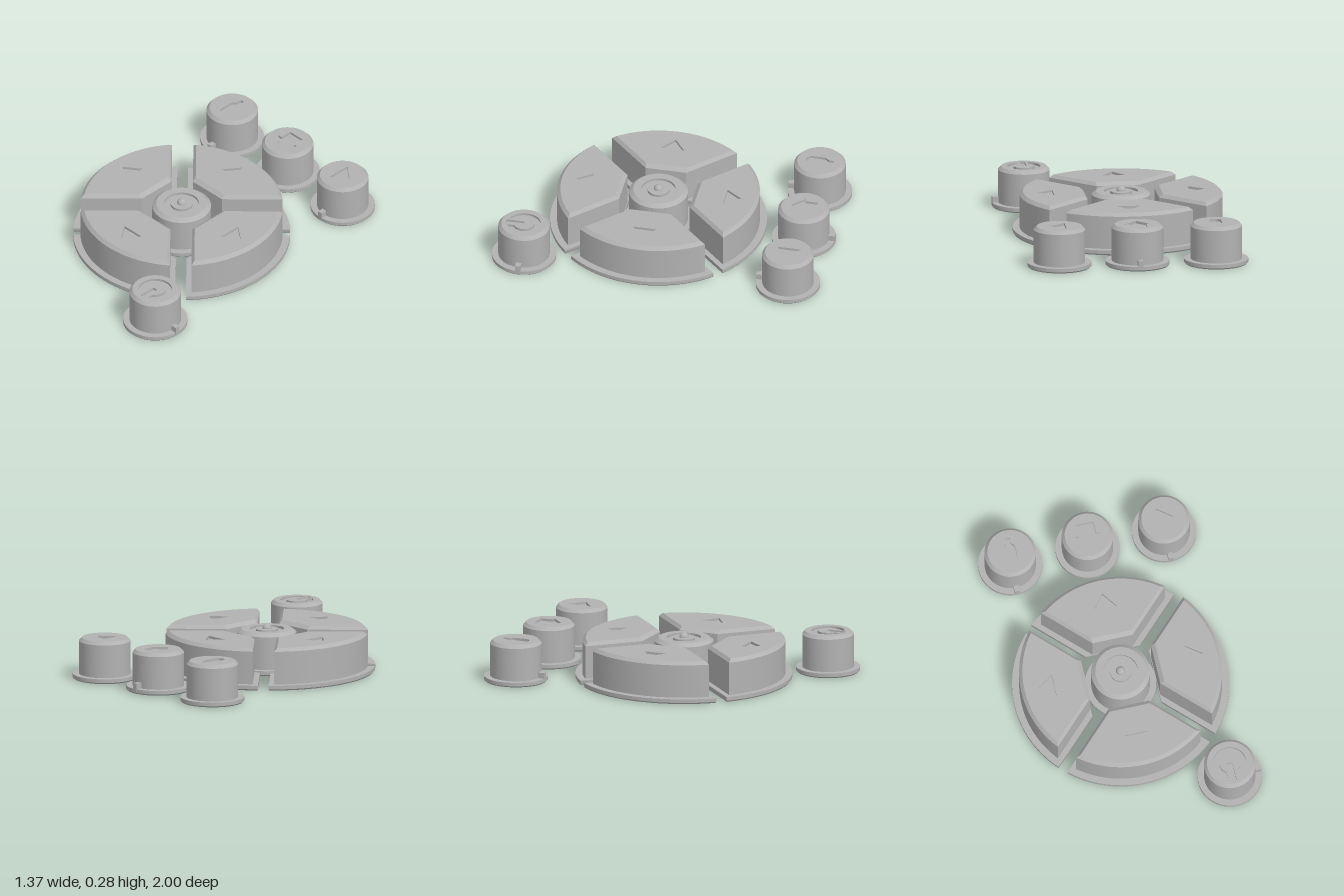
import * as THREE from 'three';
import { toCreasedNormals } from 'three/addons/utils/BufferGeometryUtils.js';

const grey = new THREE.MeshStandardMaterial({ color: 0xb2b2b2, side: THREE.DoubleSide });
grey.name = 'grey plastic';

const TOP = 0.25, FLOOR = 0.235;

// Outlines are lists of [x, z] points, running from +x towards +z.
function circle(r, n = 64) {
  return Array.from({ length: n }, (_, i) => {
    const a = (i / n) * Math.PI * 2;
    return [r * Math.cos(a), r * Math.sin(a)];
  });
}

// Quarter wedge pointing to +x: gap to the diagonal, outer radius, flat inner edge
function wedge(gap, r, flat, n = 28) {
  const o = gap * Math.SQRT2;
  const u = (o + Math.sqrt(2 * r * r - o * o)) / 2;
  const a = Math.atan2(u - o, u);
  const pts = [[flat, -(flat - o)]];
  for (let i = 0; i <= n; i++) {
    const t = -a + (2 * a * i) / n;
    pts.push([r * Math.cos(t), r * Math.sin(t)]);
  }
  pts.push([flat, flat - o]);
  return pts;
}

// Skin between stacked outlines, given as [outline, y]
function loft(rings) {
  const pos = [];
  for (let k = 0; k < rings.length - 1; k++) {
    const [lo, y0] = rings[k], [hi, y1] = rings[k + 1];
    for (let i = 0; i < lo.length; i++) {
      const j = (i + 1) % lo.length;
      const a = [lo[i][0], y0, lo[i][1]], b = [lo[j][0], y0, lo[j][1]];
      const c = [hi[j][0], y1, hi[j][1]], d = [hi[i][0], y1, hi[i][1]];
      pos.push(...a, ...d, ...c, ...a, ...c, ...b);
    }
  }
  const g = new THREE.BufferGeometry();
  g.setAttribute('position', new THREE.Float32BufferAttribute(pos, 3));
  return toCreasedNormals(g, 0.5);
}

function toShape(outline, sign) {
  return new THREE.Shape(outline.map(([x, z]) => new THREE.Vector2(x, sign * z)));
}

function add(group, name, geometry, y = 0) {
  const mesh = new THREE.Mesh(geometry, grey);
  mesh.name = name;
  mesh.position.y = y;
  group.add(mesh);
  return mesh;
}

// Raised plate at the top, with engraved symbols cut through it
function plate(outline, holes = []) {
  const s = toShape(outline, -1);
  s.holes = holes.map((h) => toShape(h, -1));
  const g = new THREE.ExtrudeGeometry(s, { depth: TOP - FLOOR, bevelEnabled: false });
  return toCreasedNormals(g.rotateX(-Math.PI / 2), 0.5);
}

function button(name, { flange, foot, body, top }, symbols, pocketX = 0) {
  const g = new THREE.Group();
  g.name = name;
  add(g, 'shell', loft([[foot, 0], [flange, 0.008], [flange, 0.03], [body, 0.03], [body, 0.23], [top, TOP]]));
  add(g, 'engravedTop', plate(top, symbols));
  add(g, 'engravingFloor', new THREE.ShapeGeometry(toShape(top, -1)).rotateX(-Math.PI / 2), FLOOR);

  // Underside with a square, tapering switch pocket
  const h = 0.095;
  const under = toShape(foot, 1);
  under.holes = [toShape([[-h, -h], [h, -h], [h, h], [-h, h]].map(([x, z]) => [x + pocketX, z]), 1)];
  add(g, 'underside', new THREE.ShapeGeometry(under).rotateX(Math.PI / 2));
  const profile = [[h * Math.SQRT2, 0], [h * Math.SQRT2, 0.015], [0.06, 0.08], [0, 0.08]];
  const pocket = new THREE.LatheGeometry(profile.map((p) => new THREE.Vector2(...p)), 4, Math.PI / 4);
  add(g, 'switchPocket', toCreasedNormals(pocket, 0.3)).position.x = pocketX;
  return g;
}

const roundOutlines = (flange, body, top) => ({
  flange: circle(flange), foot: circle(flange - 0.008), body: circle(body), top: circle(top),
});

// Part ring open towards +z
function openRing(inner, outer, gap, n = 40) {
  const arc = (r) => {
    const half = Math.asin(gap / r);
    return Array.from({ length: n + 1 }, (_, i) => {
      const a = Math.PI / 2 + half + ((Math.PI * 2 - 2 * half) * i) / n;
      return [r * Math.cos(a), r * Math.sin(a)];
    });
  };
  return [...arc(outer), ...arc(inner).reverse()];
}

// Bottle: square neck, shoulders and a rounded base
function bottle() {
  const pts = [[-0.013, -0.085], [0.013, -0.085], [0.013, -0.052], [0.03, -0.035], [0.035, -0.02]];
  for (let i = 0; i <= 12; i++) {
    const a = (i / 12) * Math.PI;
    pts.push([0.035 * Math.cos(a), 0.05 + 0.035 * Math.sin(a)]);
  }
  return [...pts, [-0.035, -0.02], [-0.03, -0.035], [-0.013, -0.052]];
}

export function createModel() {
  const model = new THREE.Group();
  model.name = 'buttonSet';

  // Direction pad
  const pad = new THREE.Group();
  pad.name = 'directionPad';
  pad.position.set(-0.02, 0, 0.085);
  model.add(pad);
  const wedgeOutlines = {
    flange: wedge(0.032, 0.652, 0.212), foot: wedge(0.036, 0.646, 0.215),
    body: wedge(0.065, 0.61, 0.216), top: wedge(0.082, 0.59, 0.241),
  };
  const arrow = [[0.41, -0.071], [0.507, 0], [0.41, 0.071]];
  ['rightWedge', 'backWedge', 'leftWedge', 'frontWedge'].forEach((name, i) => {
    const w = button(name, wedgeOutlines, [arrow], 0.44);
    w.rotation.y = (i * Math.PI) / 2;
    pad.add(w);
  });

  // Centre button with a ring groove and a small locating ball
  const centre = button('centreButton', roundOutlines(0.214, 0.177, 0.152), [circle(0.103)]);
  add(centre, 'centreDisc', plate(circle(0.066)), FLOOR);
  add(centre, 'locatingBall', new THREE.SphereGeometry(0.028, 24, 16), TOP);
  pad.add(centre);

  // Separate round buttons: position, symbols and direction of the key tab
  const rounds = [
    ['bottleButton', -0.496, -0.807, [bottle()], [0, 1]],
    ['downArrowButton', -0.02, -0.807, [[[-0.053, -0.074], [0.053, -0.074], [0.053, 0], [0.08, 0],
      [0, 0.08], [-0.08, 0], [-0.053, 0]]], [0, -1]],
    ['playButton', 0.452, -0.807, [[[-0.037, -0.074], [0.058, 0], [-0.037, 0.074]]], [0, 1]],
    ['powerButton', 0.488, 0.805, [openRing(0.063, 0.1, 0.032),
      [[-0.016, 0], [0.016, 0], [0.016, 0.11], [-0.016, 0.11]]], [1, 0]],
  ];
  for (const [name, x, z, symbols, [dx, dz]] of rounds) {
    const b = button(name, roundOutlines(0.193, 0.155, 0.137), symbols);
    b.position.set(x, 0, z);
    const tab = add(b, 'keyTab', new THREE.BoxGeometry(dx ? 0.045 : 0.032, 0.055, dz ? 0.045 : 0.032), 0.0375);
    tab.position.x = dx * 0.17;
    tab.position.z = dz * 0.17;
    model.add(b);
  }

  // The engraved plates sit at the engraving floor height
  model.traverse((o) => { if (o.name === 'engravedTop') o.position.y = FLOOR; });
  return model;
}
